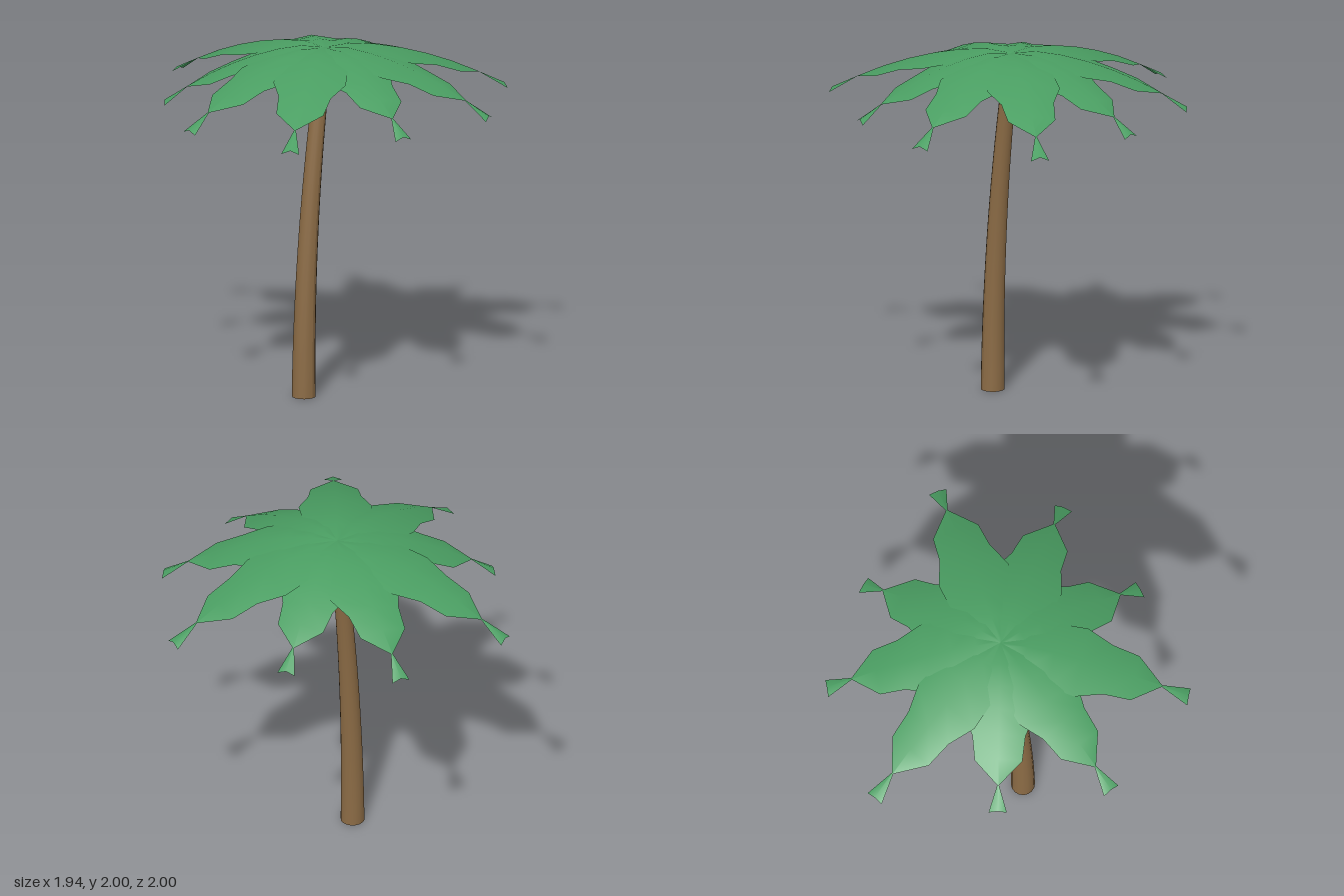
import * as THREE from 'three';

const CROWN = { x: 0.01, z: 0.07 };

// One drooping frond along +x: a folded sheet of left edge, midrib and right edge
function frondGeometry(length) {
  const widths = [0.02, 0.12, 0.19, 0.205, 0.148, 0.133, 0.005, 0.051];
  const rise = [1.985, 1.995, 1.975, 1.94, 1.892, 1.832, 1.758, 1.68];
  const last = widths.length - 1;
  const positions = [], index = [];
  widths.forEach((w, i) => {
    const fold = i === last ? 0.4 : 0.2;
    for (const side of [-1, 0, 1]) {
      positions.push(length * i / last, rise[i] - Math.abs(side) * w * fold, side * w);
    }
    if (i === last) return;
    for (let j = 0; j < 2; j++) {
      const a = i * 3 + j, b = a + 1, c = a + 3, d = a + 4;
      index.push(a, b, c, b, d, c);
    }
  });
  const geometry = new THREE.BufferGeometry();
  geometry.setAttribute('position', new THREE.Float32BufferAttribute(positions, 3));
  geometry.setIndex(index);
  geometry.computeVertexNormals();
  return geometry;
}

// Tapered cylinder bent towards +x as it rises
function trunkGeometry() {
  const height = 1.92;
  const geometry = new THREE.CylinderGeometry(0.042, 0.067, height, 16, 16);
  geometry.translate(0, height / 2, 0);
  const p = geometry.attributes.position;
  for (let i = 0; i < p.count; i++) {
    const t = p.getY(i) / height;
    p.setX(i, p.getX(i) - 0.16 + 0.17 * t * t);
  }
  geometry.computeVertexNormals();
  return geometry;
}

export function createModel() {
  const bark = new THREE.MeshStandardMaterial({ color: 0x8b6b45 });
  bark.name = 'bark brown';
  const leaf = new THREE.MeshStandardMaterial({ color: 0x4a9e62, side: THREE.DoubleSide });
  leaf.name = 'leaf green';
  const husk = new THREE.MeshStandardMaterial({ color: 0x8a623f, flatShading: true });
  husk.name = 'husk brown';

  const model = new THREE.Group();
  model.name = 'palmTree';

  const trunk = new THREE.Mesh(trunkGeometry(), bark);
  trunk.name = 'trunk';
  trunk.position.z = CROWN.z;
  model.add(trunk);

  // Nine fronds in three repeating lengths
  const crown = new THREE.Group();
  crown.name = 'crown';
  crown.position.set(CROWN.x, 0, CROWN.z);
  const lengths = [1.07, 0.98, 0.89].map(frondGeometry);
  for (let i = 0; i < 9; i++) {
    const frond = new THREE.Mesh(lengths[i % 3], leaf);
    frond.name = 'frond' + (i + 1);
    frond.rotation.y = -THREE.MathUtils.degToRad(-91.5 + i * 40);
    crown.add(frond);
  }
  model.add(crown);

  // Coconuts tucked under the crown
  const nut = new THREE.IcosahedronGeometry(0.042, 1);
  [[0.058, 1.872, 0.04], [-0.005, 1.87, 0.135], [0.055, 1.875, 0.115]].forEach((at, i) => {
    const coconut = new THREE.Mesh(nut, husk);
    coconut.name = 'coconut' + (i + 1);
    coconut.position.set(...at);
    coconut.rotation.y = i * 1.3;
    model.add(coconut);
  });

  return model;
}
